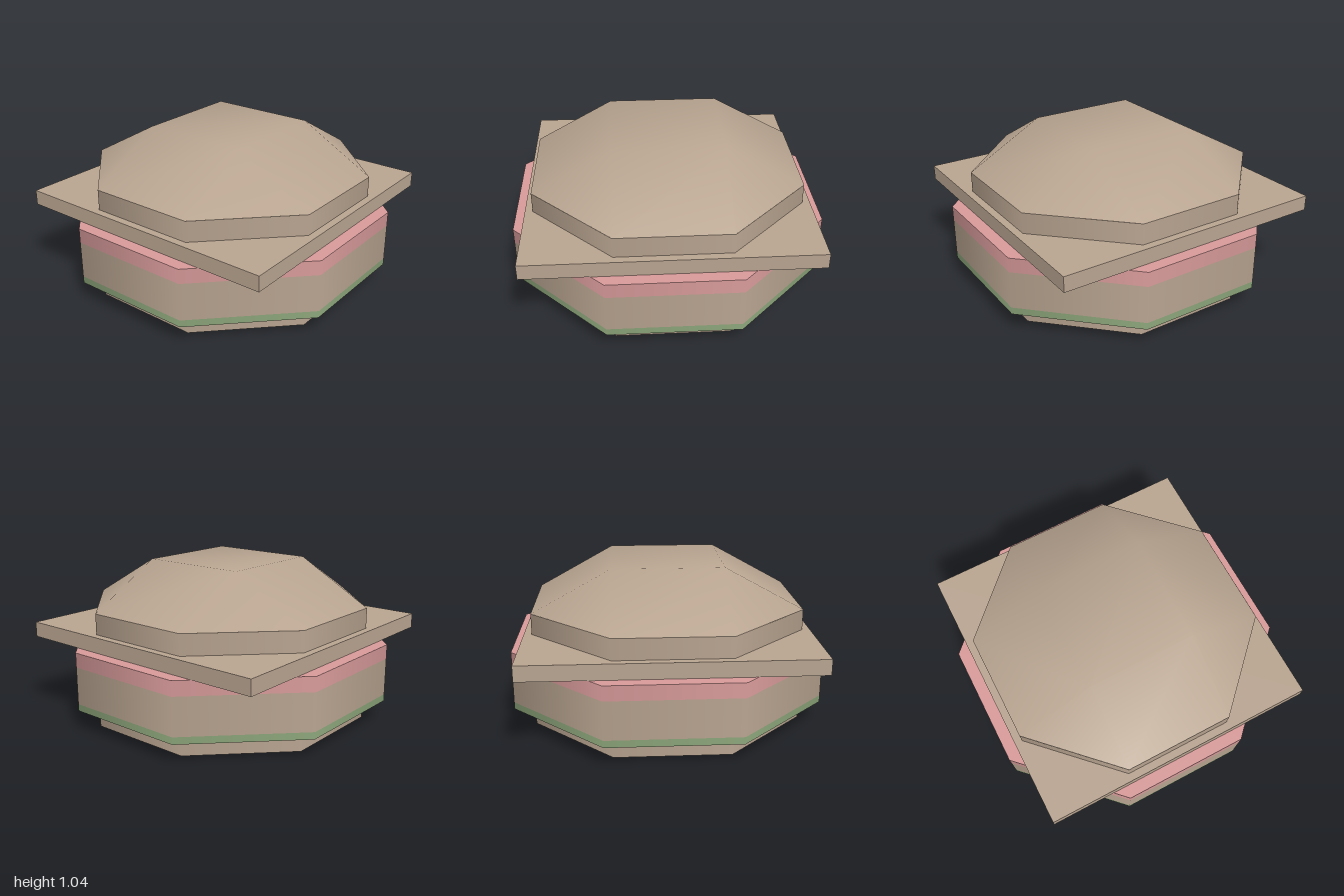
import * as THREE from 'three';

export function createModel() {
  const group = new THREE.Group();
  const make = (name, color) => {
    const m = new THREE.MeshStandardMaterial({ color });
    m.name = name;
    return m;
  };
  const bread = make('bread tan', 0xb8a490);
  const pink = make('sauce pink', 0xd89a9a);
  const green = make('leaf green', 0x8ca57a);

  const add = (name, geometry, material) => {
    const mesh = new THREE.Mesh(geometry, material);
    mesh.name = name;
    group.add(mesh);
    return mesh;
  };

  // Eight-sided layer with flats facing the axes; size is half the width across flats
  const layer = (name, size, y0, y1, material, open = false) => {
    const r = size / Math.cos(Math.PI / 8);
    const g = new THREE.CylinderGeometry(r, r, y1 - y0, 8, 1, open);
    g.rotateY(Math.PI / 8);
    g.translate(0, (y0 + y1) / 2, 0);
    return add(name, g, material);
  };

  // Bottom bun and the banded filling
  layer('bottomBun', 0.87, 0, 0.132, bread);
  layer('lettuceBand', 1, 0.132, 0.178, green);
  layer('patty', 1, 0.178, 0.424, bread, true);
  layer('tomatoBand', 1, 0.424, 0.52, pink);

  // Square slice overhanging the octagon's corners
  const slice = new THREE.BoxGeometry(1.84, 0.1, 1.84);
  slice.translate(0, 0.57, 0);
  add('slice', slice, bread);

  // Top bun: upright rim, then an octagon sloping up to a square top
  layer('topBunRim', 0.87, 0.62, 0.755, bread, true);
  const a = 0.36, b = 0.87;
  const pos = [], index = [];
  for (let k = 0; k < 4; k++) {
    const c = Math.round(Math.cos(k * Math.PI / 2)), s = Math.round(Math.sin(k * Math.PI / 2));
    for (const [x, y, z] of [[-a, 0.755, b], [a, 0.755, b], [a, 1.038, a]])
      pos.push(x * c + z * s, y, z * c - x * s);
    const i = k * 3, next = ((k + 1) % 4) * 3, prev = ((k + 3) % 4) * 3;
    index.push(i, i + 1, i + 2, i, i + 2, prev + 2); // side slope
    index.push(i + 1, next, i + 2); // corner facet
  }
  index.push(2, 5, 8, 2, 8, 11); // square top
  const dome = new THREE.BufferGeometry();
  dome.setAttribute('position', new THREE.Float32BufferAttribute(pos, 3));
  dome.setIndex(index);
  dome.computeVertexNormals();
  add('topBunDome', dome, bread);

  return group;
}
